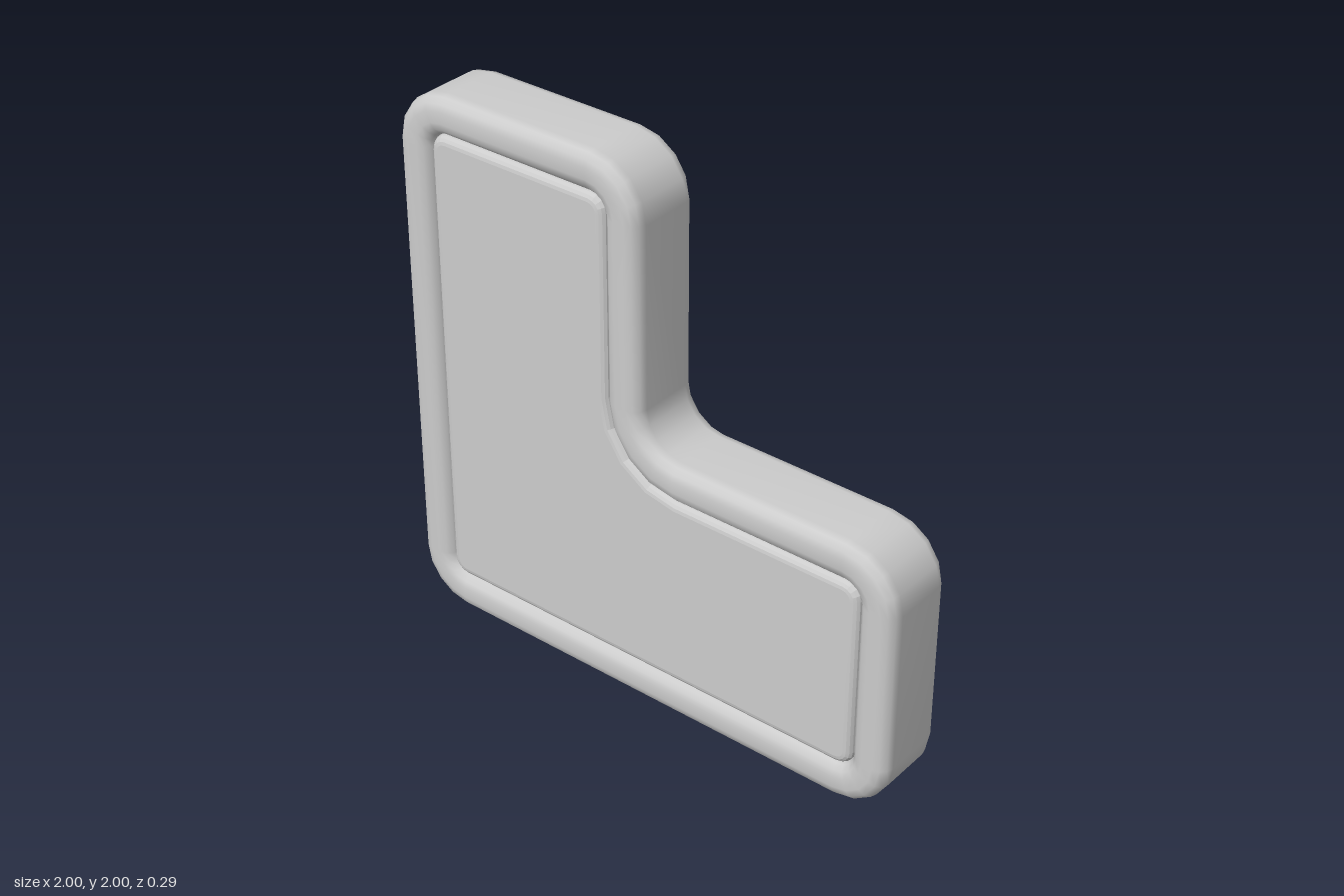
import * as THREE from 'three';
import { toCreasedNormals } from 'three/addons/utils/BufferGeometryUtils.js';

const HALF_DEPTH = 0.146, RIM = 0.14, STEPS = 4;

// Rounded corners of the L, counter-clockwise: centre x, y, radius, start angle (quarter turns), turn direction
const CORNERS = [
  [-0.8, 0.2, 0.2, 2, 1],
  [0.8, 0.2, 0.2, 3, 1],
  [0.8, 0.8, 0.2, 0, 1],
  [0.14, 1.14, 0.14, 3, -1], // inside corner
  [-0.2, 1.8, 0.2, 0, 1],
  [-0.8, 1.8, 0.2, 1, 1],
];

// L outline moved inwards by d
function outline(d) {
  const pts = [];
  for (const [cx, cy, r, start, dir] of CORNERS) {
    for (let k = 0; k <= STEPS; k++) {
      const a = (start + dir * k / STEPS) * Math.PI / 2;
      const rad = r - dir * d;
      pts.push(new THREE.Vector2(cx + rad * Math.cos(a), cy + rad * Math.sin(a)));
    }
  }
  return pts;
}

// Closed rounded-rectangle section of the rim: [inset, z]
function rimSection(radius, steps) {
  const section = [];
  const hw = RIM / 2 - radius, hz = HALF_DEPTH - radius;
  [[1, 1], [-1, 1], [-1, -1], [1, -1]].forEach(([sx, sz], q) => {
    for (let k = 0; k <= steps; k++) {
      const a = (q + k / steps) * Math.PI / 2;
      section.push([RIM / 2 + sx * hw + radius * Math.cos(a), sz * hz + radius * Math.sin(a)]);
    }
  });
  return section;
}

// Sweep a closed section around the outline
function sweep(section) {
  const loops = section.map(([d]) => outline(d));
  const n = loops[0].length, m = section.length;
  const pos = [], idx = [];
  for (let i = 0; i < n; i++) {
    for (let j = 0; j < m; j++) {
      pos.push(loops[j][i].x, loops[j][i].y, section[j][1]);
      const i2 = (i + 1) % n, j2 = (j + 1) % m;
      const a = i * m + j, b = i * m + j2, c = i2 * m + j, e = i2 * m + j2;
      idx.push(a, b, c, b, e, c);
    }
  }
  const geo = new THREE.BufferGeometry();
  geo.setAttribute('position', new THREE.Float32BufferAttribute(pos, 3));
  geo.setIndex(idx);
  geo.computeVertexNormals();
  return geo;
}

export function createModel() {
  const group = new THREE.Group();
  group.name = 'framedPanel';
  const grey = new THREE.MeshStandardMaterial({ color: 0xcccccc });

  // Rounded rim
  const rim = new THREE.Mesh(sweep(rimSection(0.05, 3)), grey);
  rim.name = 'rim';
  group.add(rim);

  // Panel almost flush with the rim, its softened edge leaving a groove
  const bevel = 0.03, halfPanel = 0.135;
  const panelGeo = new THREE.ExtrudeGeometry(new THREE.Shape(outline(RIM)), {
    depth: 2 * (halfPanel - bevel),
    bevelThickness: bevel,
    bevelSize: bevel,
    bevelOffset: -bevel,
    bevelSegments: 4,
  });
  panelGeo.translate(0, 0, bevel - halfPanel);
  const panel = new THREE.Mesh(toCreasedNormals(panelGeo, 0.18), grey);
  panel.name = 'panel';
  group.add(panel);

  return group;
}
